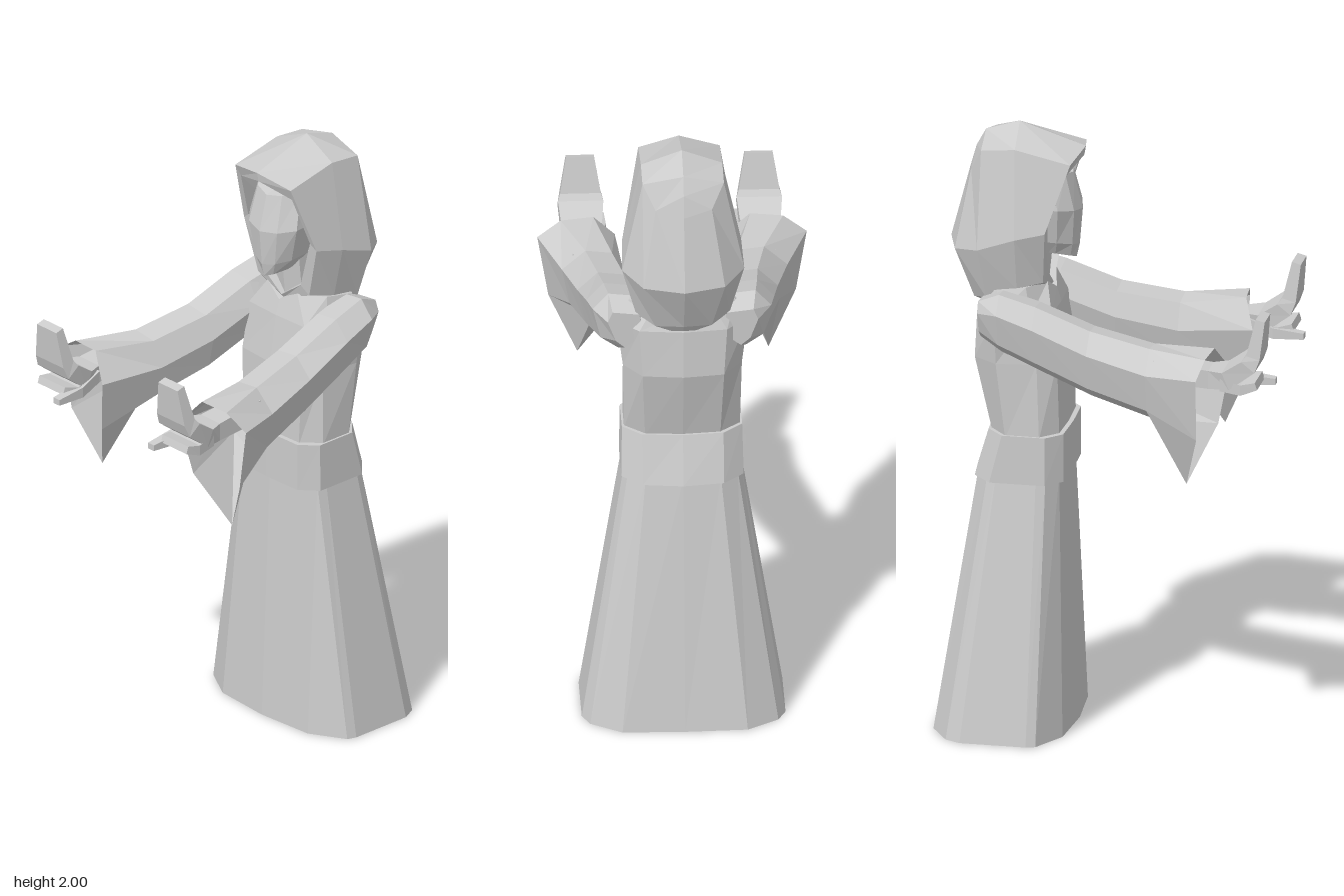
import * as THREE from 'three';

const material = new THREE.MeshStandardMaterial({ color: 0xcccccc, flatShading: true, side: THREE.DoubleSide });

// Skin a list of cross-sections (closed loops of [x, y, z]) with flat faces
function loft(name, rings, capStart = false, capEnd = false) {
  const pos = [];
  const n = rings[0].length;
  const tri = (a, b, c) => pos.push(...a, ...b, ...c);
  for (let i = 0; i < rings.length - 1; i++) {
    for (let j = 0; j < n; j++) {
      const k = (j + 1) % n;
      const [a, b, c, d] = [rings[i][j], rings[i][k], rings[i + 1][k], rings[i + 1][j]];
      tri(a, b, c);
      tri(a, c, d);
    }
  }
  const cap = (ring, flip) => {
    const mid = [0, 1, 2].map(k => ring.reduce((s, p) => s + p[k], 0) / n);
    ring.forEach((p, j) => {
      const q = ring[(j + 1) % n];
      if (flip) tri(q, p, mid); else tri(p, q, mid);
    });
  };
  if (capStart) cap(rings[0], true);
  if (capEnd) cap(rings[rings.length - 1], false);
  const geometry = new THREE.BufferGeometry();
  geometry.setAttribute('position', new THREE.Float32BufferAttribute(pos, 3));
  geometry.computeVertexNormals();
  const mesh = new THREE.Mesh(geometry, material);
  mesh.name = name;
  return mesh;
}

// Complete a half loop that starts and ends on the centre line
const mirrorHalf = half => [...half, ...half.slice(1, -1).reverse().map(([x, y, z]) => [-x, y, z])];

// Level half loop: pairs of x, z at height y
const level = (y, pairs) => mirrorHalf(pairs.map(([x, z]) => [x, y, z]));

// Mirror loops to the other side, keeping faces outward
const toSide = (rings, side) => side > 0 ? rings : rings.map(r => r.map(([x, y, z]) => [-x, y, z]).reverse());

// Sleeve cross-section, counter-clockwise seen from the hand
function sleeveRing(z, inner, ridge, outer, top, bottom) {
  const h = top - bottom;
  return [
    [outer, top - h * 0.28, z], [ridge + 0.045, top, z], [ridge - 0.04, top - 0.01, z],
    [inner, top - h * 0.38, z], [inner + 0.02, bottom + h * 0.2, z],
    [(inner + outer) / 2, bottom, z], [outer - 0.025, bottom + h * 0.2, z],
  ];
}

// Rectangular cross-section across x, with its thickness tilted in the y-z plane
function slab(x, y, z, width, thick, angle) {
  const dy = Math.cos(angle) * thick / 2, dz = -Math.sin(angle) * thick / 2, w = width / 2;
  return [[x + w, y - dy, z - dz], [x + w, y + dy, z + dz], [x - w, y + dy, z + dz], [x - w, y - dy, z - dz]];
}

function createArm(side, name) {
  const arm = new THREE.Group();
  arm.name = name;
  const add = (part, rings, capEnd) => arm.add(loft(part, toSide(rings, side), true, capEnd));

  // Wide sleeve with a hanging pointed cuff, open at the hand
  add('sleeve', [
    sleeveRing(-0.41, 0.13, 0.18, 0.24, 1.46, 1.33),
    sleeveRing(-0.34, 0.12, 0.19, 0.285, 1.49, 1.29),
    sleeveRing(-0.22, 0.12, 0.20, 0.30, 1.46, 1.24),
    sleeveRing(-0.04, 0.135, 0.21, 0.32, 1.395, 1.17),
    sleeveRing(0.16, 0.16, 0.24, 0.36, 1.36, 1.12),
    [[0.43, 1.31, 0.34], [0.355, 1.36, 0.355], [0.25, 1.365, 0.365], [0.18, 1.28, 0.40],
      [0.215, 1.10, 0.37], [0.305, 0.92, 0.285], [0.395, 1.10, 0.335]],
  ], false);

  // Wrist, palm and raised fingers
  add('hand', [
    slab(0.285, 1.30, 0.18, 0.08, 0.07, 0),
    slab(0.285, 1.285, 0.36, 0.09, 0.06, 0),
    slab(0.285, 1.29, 0.42, 0.13, 0.06, 0.4),
    slab(0.285, 1.345, 0.495, 0.145, 0.055, 0.9),
    slab(0.285, 1.375, 0.51, 0.13, 0.045, 1.3),
    slab(0.285, 1.495, 0.53, 0.09, 0.03, 1.3),
  ], true);

  // Thumb pointing forward on the inner side
  add('thumb', [
    slab(0.25, 1.285, 0.37, 0.05, 0.04, 0),
    slab(0.225, 1.265, 0.46, 0.04, 0.035, 0),
    slab(0.222, 1.26, 0.56, 0.028, 0.02, 0),
  ], true);

  // Lower curled fingers
  add('lowerFingers', [
    slab(0.285, 1.275, 0.40, 0.12, 0.04, 0),
    slab(0.285, 1.265, 0.47, 0.14, 0.035, 0),
    slab(0.29, 1.28, 0.52, 0.12, 0.025, 0.3),
  ], true);
  return arm;
}

export function createModel() {
  const model = new THREE.Group();
  model.name = 'robedFigure';

  // Flared skirt, open underneath
  model.add(loft('skirt', [
    level(0, [[0, -0.125], [0.2, -0.14], [0.315, -0.205], [0.325, -0.235], [0.325, -0.45], [0.3, -0.5], [0.2, -0.56], [0, -0.565]]),
    level(0.86, [[0, -0.16], [0.13, -0.165], [0.18, -0.2], [0.188, -0.23], [0.188, -0.36], [0.175, -0.39], [0.12, -0.43], [0, -0.44]]),
  ]));

  // Belt, flaring out at the lower back
  const beltLow = [[0, -0.145], [0.14, -0.15], [0.195, -0.2], [0.195, -0.38], [0.13, -0.44], [0, -0.455]];
  const beltHigh = [[0, -0.145], [0.14, -0.15], [0.192, -0.2], [0.192, -0.34], [0.13, -0.395], [0, -0.405]];
  model.add(loft('belt', [level(0.84, beltLow), level(1.0, beltHigh)], true, true));

  // Torso
  model.add(loft('torso', [
    level(0.99, [[0, -0.16], [0.13, -0.165], [0.185, -0.22], [0.185, -0.33], [0.12, -0.385], [0, -0.395]]),
    level(1.24, [[0, -0.16], [0.14, -0.17], [0.175, -0.23], [0.19, -0.36], [0.13, -0.44], [0, -0.455]]),
    level(1.40, [[0, -0.185], [0.13, -0.19], [0.17, -0.25], [0.21, -0.36], [0.14, -0.43], [0, -0.445]]),
    mirrorHalf([[0, 1.45, -0.2], [0.07, 1.49, -0.215], [0.15, 1.49, -0.27], [0.17, 1.48, -0.36], [0.1, 1.465, -0.41], [0, 1.46, -0.42]]),
  ], false, true));

  // Hood: hollow inside, lip, crown and pointed back
  model.add(loft('hood', [
    [[0, 1.88, -0.30], [0.11, 1.84, -0.30], [0.13, 1.70, -0.30], [0.09, 1.55, -0.29], [0, 1.47, -0.28]],
    [[0, 1.90, -0.11], [0.12, 1.865, -0.145], [0.145, 1.70, -0.20], [0.09, 1.53, -0.21], [0, 1.465, -0.21]],
    [[0, 1.93, -0.105], [0.13, 1.905, -0.13], [0.17, 1.68, -0.205], [0.12, 1.50, -0.22], [0, 1.45, -0.22]],
    [[0, 2.0, -0.32], [0.13, 1.945, -0.31], [0.19, 1.66, -0.30], [0.15, 1.485, -0.30], [0, 1.45, -0.30]],
    [[0, 1.965, -0.43], [0.13, 1.935, -0.42], [0.195, 1.62, -0.42], [0.15, 1.45, -0.40], [0, 1.41, -0.40]],
    [[0, 1.91, -0.46], [0.09, 1.86, -0.46], [0.13, 1.60, -0.505], [0.09, 1.43, -0.45], [0, 1.385, -0.43]],
    [[0, 1.91, -0.46], [0, 1.84, -0.48], [0, 1.60, -0.543], [0, 1.43, -0.46], [0, 1.385, -0.43]],
  ].map(mirrorHalf), true));

  // Face mask inside the hood, tapering to the chin
  const faceRow = (y, w, front, back) => mirrorHalf([[0, y, front], [w * 0.6, y + 0.01, front - 0.015], [w, y + 0.02, front - 0.06], [w * 0.9, y + 0.02, back], [0, y + 0.02, back]]);
  model.add(loft('face', [
    faceRow(1.555, 0.045, -0.135, -0.22),
    faceRow(1.60, 0.075, -0.125, -0.26),
    faceRow(1.72, 0.11, -0.115, -0.28),
    faceRow(1.84, 0.095, -0.145, -0.28),
  ], true, true));

  // Short neck below the chin
  model.add(loft('neck', [
    level(1.42, [[0, -0.23], [0.06, -0.25], [0.06, -0.34], [0, -0.36]]),
    level(1.62, [[0, -0.21], [0.06, -0.23], [0.06, -0.34], [0, -0.36]]),
  ]));

  model.add(createArm(1, 'leftArm'), createArm(-1, 'rightArm'));
  return model;
}
